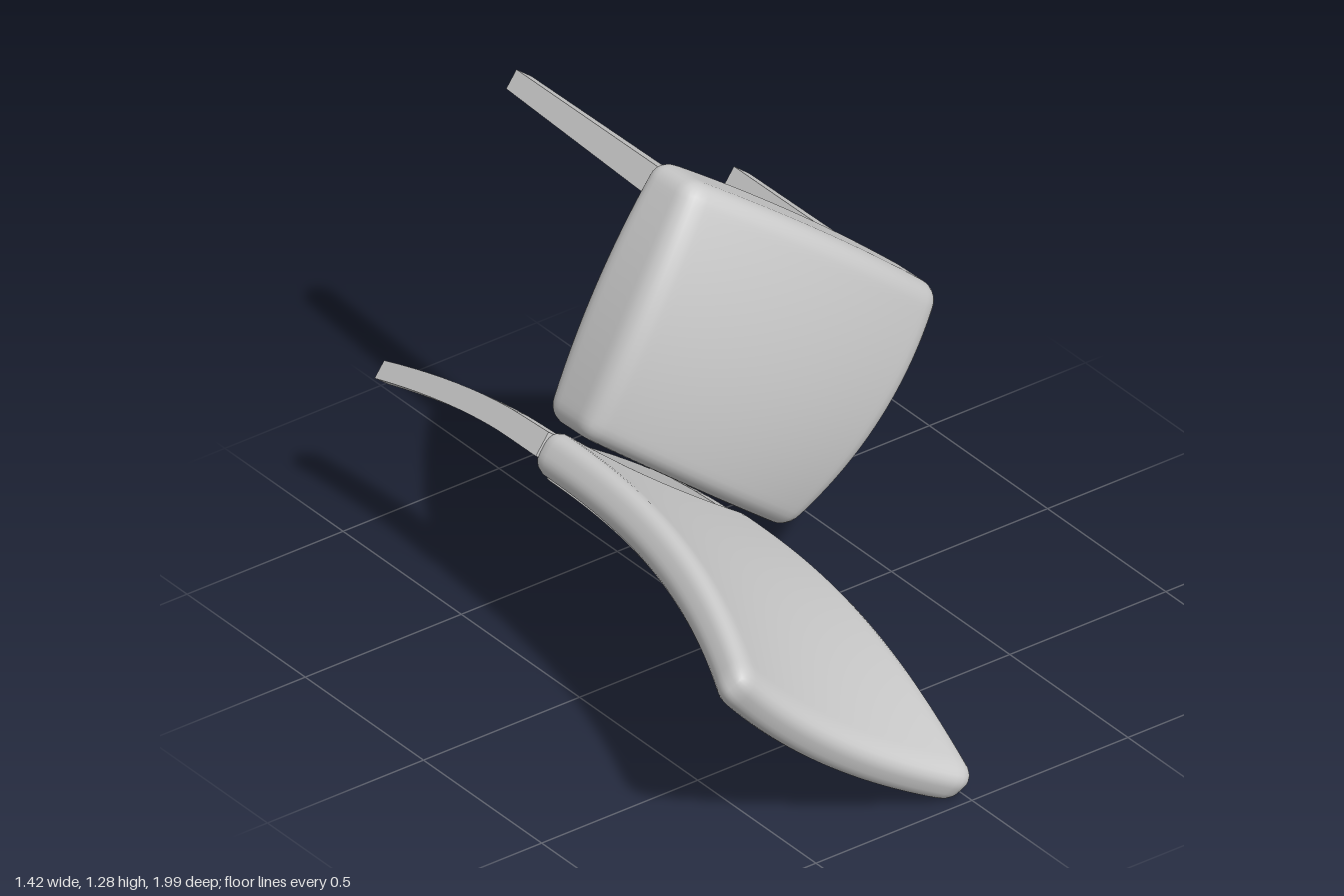
import * as THREE from 'three';
import { mergeVertices } from 'three/addons/utils/BufferGeometryUtils.js';

const grey = new THREE.MeshStandardMaterial({ color: 0xcccccc });

// Move every vertex of a geometry by a rule.
function warp(geometry, rule) {
  const pos = geometry.attributes.position;
  const p = new THREE.Vector3();
  for (let i = 0; i < pos.count; i++) {
    rule(p.fromBufferAttribute(pos, i));
    pos.setXYZ(i, p.x, p.y, p.z);
  }
  geometry.computeVertexNormals();
  return geometry;
}

// Finely divided block with rounded edges, bent by a rule and smooth all over.
function cushion(w, h, d, r, segments, rule) {
  let g = new THREE.BoxGeometry(w, h, d, ...segments);
  g.deleteAttribute('uv');
  g.deleteAttribute('normal');
  g = mergeVertices(g, 1e-5);
  const half = new THREE.Vector3(w / 2 - r, h / 2 - r, d / 2 - r);
  const low = half.clone().negate();
  const inner = new THREE.Vector3();
  return warp(g, (p) => {
    inner.copy(p).clamp(low, half);
    p.sub(inner).setLength(r).add(inner);
    rule(p);
  });
}

function addMesh(parent, name, geometry) {
  const mesh = new THREE.Mesh(geometry, grey);
  mesh.name = name;
  parent.add(mesh);
  return mesh;
}

// Seat: tapers to the rear, sides bulge, top is domed.
function seatGeometry() {
  const w = 0.85, h = 0.19, d = 0.72;
  return cushion(w, h, d, 0.045, [48, 14, 42], (p) => {
    const u = p.x / (w / 2), v = p.z / (d / 2), t = p.y / h + 0.5;
    p.x *= 1 + 0.095 * v + 0.075 * (1 - v * v);
    p.z += 0.0875 + 0.018 * (1 - u * u) * Math.max(v, 0);
    p.y += 0.75 + t * 0.1 * (1 - (u * u + v * v) / 2);
  });
}

// Backrest rule: leans back in a growing curve, flares at the top, hollow across.
const backBottom = 0.67, backHeight = 1.175, backDepth = 0.12;
function bendBack(p) {
  const t = THREE.MathUtils.clamp((p.y - backBottom) / backHeight, 0, 1);
  const u = p.x / 0.37;
  const slope = 0.53 * t ** 1.5;
  const n = Math.hypot(1, slope);
  const hollow = 1 - u * u;
  const depth = p.z - backDepth / 2;
  p.x *= 1 + 0.03 * t + 0.18 * t ** 4;
  p.y += (depth * slope) / n + 0.05 * t ** 4 - 0.025 * hollow * t ** 4;
  p.z = -0.29 - 0.25 * t ** 2.5 + depth / n - (0.015 + 0.04 * t) * hollow;
}

function backGeometry(w, y0, y1, d, z, r) {
  return cushion(w, y1 - y0, d, r, [40, 56, 10], (p) => {
    p.y += (y0 + y1) / 2;
    p.z += z;
    bendBack(p);
  });
}

// Square tapered leg following a centre line z(y).
function legGeometry(top, topWidth, footWidth, segments, line) {
  return warp(new THREE.BoxGeometry(1, 1, 1, 1, segments, 1), (p) => {
    const t = p.y + 0.5;
    const width = THREE.MathUtils.lerp(footWidth, topWidth, t);
    p.y = t * top;
    p.x *= width;
    p.z = p.z * width + line(p.y);
  });
}

export function createModel() {
  const model = new THREE.Group();
  model.name = 'chair';

  // Upright chair, feet on its own floor, facing its own +z.
  const chair = new THREE.Group();
  chair.name = 'tippedChair';
  model.add(chair);

  addMesh(chair, 'seat', seatGeometry());
  addMesh(chair, 'backrest', backGeometry(0.74, backBottom, backBottom + backHeight, backDepth, 0, 0.048));
  addMesh(chair, 'backPanel', backGeometry(0.61, 0.7, 1.76, 0.012, -backDepth / 2, 0.004));

  const frontLeg = legGeometry(0.7, 0.078, 0.056, 1, (y) => 0.406 - 0.028 * y);
  const backLeg = legGeometry(0.7, 0.07, 0.052, 12, (y) => -0.343 - 0.07 * Math.max(0, 1 - y / 0.55) ** 1.7);
  const glide = new THREE.CylinderGeometry(0.011, 0.011, 0.02, 12);

  for (const side of [1, -1]) {
    const label = side > 0 ? 'left' : 'right';
    for (const [name, geometry, x, footZ] of [
      ['FrontLeg', frontLeg, 0.405, 0.406],
      ['BackLeg', backLeg, 0.338, -0.413],
    ]) {
      addMesh(chair, label + name, geometry).position.x = side * x;
      addMesh(chair, label + name + 'Glide', glide).position.set(side * x, -0.007, footZ);
    }
  }

  // Tip the chair onto its back, turned sideways.
  const forward = new THREE.Vector3(0.615, 0.787, -0.035).normalize();
  const across = new THREE.Vector3(-0.787, 0.609, -0.098);
  const up = forward.clone().cross(across).normalize();
  across.crossVectors(up, forward);
  chair.quaternion.setFromRotationMatrix(new THREE.Matrix4().makeBasis(across, up, forward));
  chair.position.set(0.118, 0.618, -0.928);
  return model;
}
